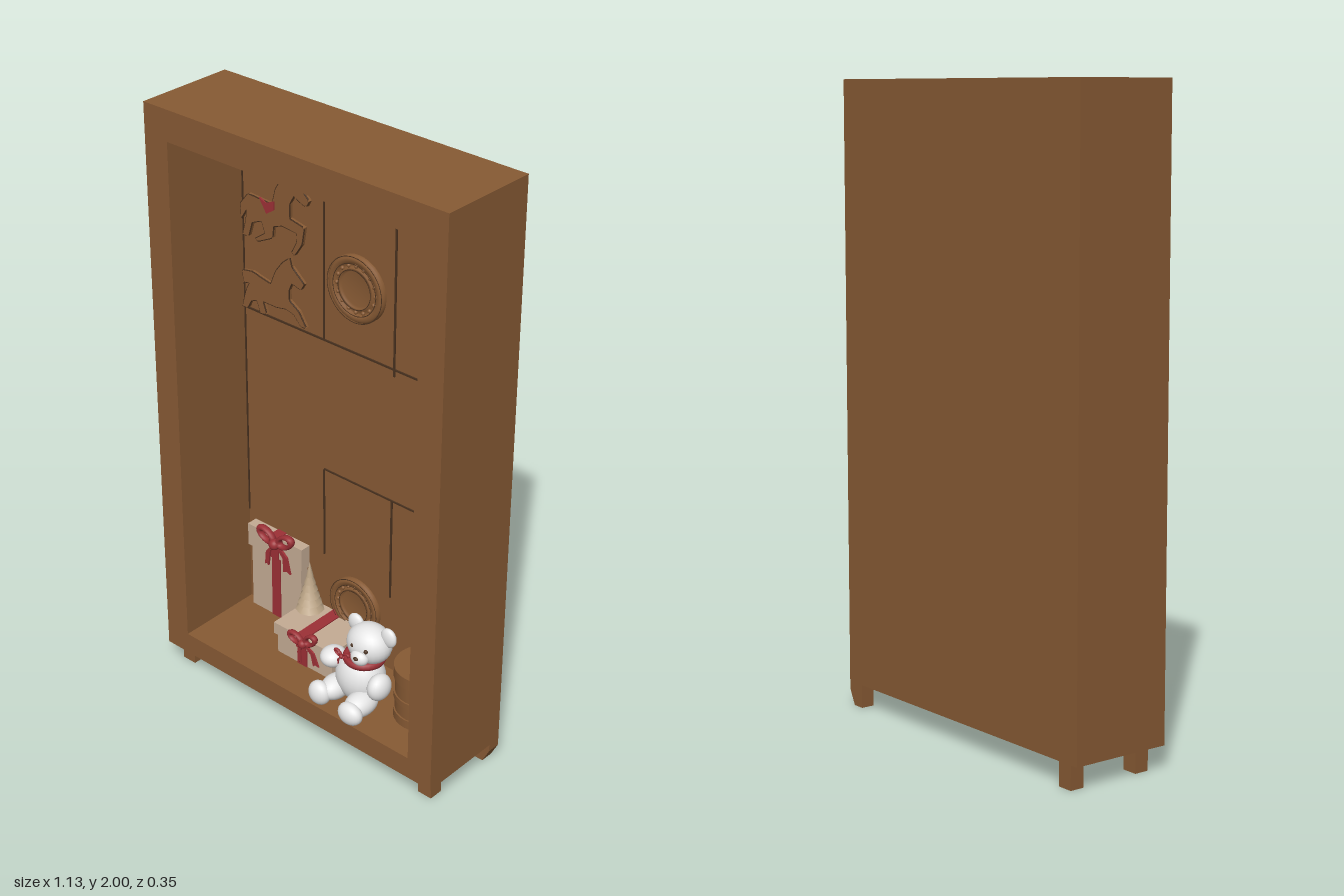
import * as THREE from 'three';

const mat = (name, color, side = THREE.FrontSide) => {
  const m = new THREE.MeshStandardMaterial({ color, side });
  m.name = name;
  return m;
};

export function createModel() {
  const wood = mat('wood', 0x875a34);
  const red = mat('red ribbon', 0x9c3036);
  const cream = mat('cream paper', 0xc4ab94);
  const white = mat('white plush', 0xe6e6e6);
  const straw = mat('straw foliage', 0xb9a284, THREE.DoubleSide);
  const dark = mat('dark seam', 0x4a3220);

  const model = new THREE.Group();
  model.name = 'displayCabinet';
  const WALL = -0.145; // front face of the back wall

  const group = (name, parent = model) => {
    const g = new THREE.Group();
    g.name = name;
    parent.add(g);
    return g;
  };
  const add = (parent, name, geo, material, x = 0, y = 0, z = 0) => {
    const m = new THREE.Mesh(geo, material);
    m.name = name;
    m.position.set(x, y, z);
    parent.add(m);
    return m;
  };
  // box given by its limits
  const box = (parent, name, m, x0, x1, y0, y1, z0, z1) =>
    add(parent, name, new THREE.BoxGeometry(x1 - x0, y1 - y0, z1 - z0), m,
      (x0 + x1) / 2, (y0 + y1) / 2, (z0 + z1) / 2);
  const ball = (parent, name, m, p, s) => {
    const b = add(parent, name, new THREE.SphereGeometry(1, 24, 16), m, ...p);
    b.scale.set(...s);
    return b;
  };
  const poly = pts => new THREE.Shape(pts.map(p => new THREE.Vector2(...p)));
  const plate = (shape, depth) =>
    new THREE.ExtrudeGeometry(shape, { depth, bevelEnabled: false, curveSegments: 8 });

  // Cabinet shell: hollow frame and back wall
  const rim = poly([[-0.567, 0.075], [0.567, 0.075], [0.567, 2], [-0.567, 2]]);
  rim.holes.push(new THREE.Path([[-0.475, 0.15], [-0.475, 1.9], [0.475, 1.9], [0.475, 0.15]]
    .map(p => new THREE.Vector2(...p))));
  add(model, 'cabinetFrame', plate(rim, 0.335), wood, 0, 0, -0.175);
  box(model, 'backWall', wood, -0.476, 0.476, 0.149, 1.901, -0.175, WALL);

  // Feet, the rear left one chamfered at the corner
  const feet = group('feet');
  for (const [x, z] of [[-0.515, 0.095], [0.512, 0.095], [-0.515, -0.151]])
    box(feet, 'foot', wood, x - 0.026, x + 0.026, 0, 0.08, z - 0.024, z + 0.024);
  add(feet, 'chamferedFoot',
    plate(poly([[0.5, 0], [0.542, 0], [0.567, 0.05], [0.567, 0.08], [0.5, 0.08]]), 0.045),
    wood, 0, 0, -0.175);

  // Panel seams on the back wall
  const seams = group('panelSeams');
  for (const [x0, x1, y0, y1] of [
    [-0.475, 0.475, 1.251, 1.257], [-0.143, -0.138, 1.255, 1.9], [0.136, 0.142, 1.23, 1.9],
    [-0.14, 0.475, 0.79, 0.795], [-0.143, -0.138, 0.47, 0.79], [0.136, 0.142, 0.43, 0.79],
    [-0.475, 0.475, 1.896, 1.9], [-0.475, -0.471, 0.5, 1.9], [0.471, 0.475, 0.35, 1.9]])
    box(seams, 'seam', dark, x0, x1, y0, y1, WALL - 0.002, WALL + 0.004);

  // Carved medallions
  const medallion = (x, y, r) => {
    const g = group('medallion');
    g.position.set(x, y, WALL);
    const pts = [[1, 0], [1, 0.012], [0.93, 0.02], [0.8, 0.02], [0.76, 0.01],
      [0.66, 0.01], [0.63, 0.016], [0.56, 0.016], [0.52, 0.008], [0.001, 0.008]];
    const disc = add(g, 'carvedDisc',
      new THREE.LatheGeometry(pts.map(p => new THREE.Vector2(p[0] * r, p[1])), 40), wood);
    disc.rotation.x = Math.PI / 2;
    for (const k of [1, 0.79, 0.6])
      add(g, 'groove', new THREE.RingGeometry(r * (k - 0.025), r * k, 40), dark, 0, 0, 0.0206);
    for (let i = 0; i < 16; i++) {
      const a = i * Math.PI / 8;
      const b = ball(g, 'bead', wood, [Math.cos(a) * r * 0.7, Math.sin(a) * r * 0.7, 0.012],
        [r * 0.06, r * 0.06, 0.006]);
      b.rotation.z = a;
    }
  };
  medallion(-0.005, 1.475, 0.108);
  medallion(0, 0.335, 0.1);

  // Carved horses, outlines drawn clockwise from the ear
  const trot = [[-0.262, 1.79], [-0.25, 1.755], [-0.19, 1.7], [-0.2, 1.68], [-0.222, 1.685],
    [-0.25, 1.7], [-0.268, 1.67], [-0.27, 1.62], [-0.21, 1.608], [-0.22, 1.55], [-0.25, 1.505],
    [-0.262, 1.51], [-0.24, 1.55], [-0.24, 1.582], [-0.3, 1.588], [-0.335, 1.575],
    [-0.34, 1.535], [-0.4, 1.505], [-0.415, 1.508], [-0.37, 1.54], [-0.385, 1.578],
    [-0.425, 1.56], [-0.44, 1.51], [-0.465, 1.508], [-0.45, 1.56], [-0.445, 1.6],
    [-0.47, 1.56], [-0.472, 1.61], [-0.44, 1.65], [-0.34, 1.645], [-0.325, 1.7], [-0.29, 1.755]];
  const canter = [[-0.27, 1.49], [-0.262, 1.462], [-0.212, 1.42], [-0.225, 1.398], [-0.262, 1.408],
    [-0.275, 1.38], [-0.275, 1.345], [-0.235, 1.32], [-0.205, 1.275], [-0.225, 1.272],
    [-0.255, 1.305], [-0.29, 1.312], [-0.325, 1.305], [-0.385, 1.305], [-0.37, 1.265],
    [-0.395, 1.26], [-0.41, 1.3], [-0.435, 1.29], [-0.45, 1.26], [-0.472, 1.26], [-0.455, 1.32],
    [-0.44, 1.35], [-0.465, 1.345], [-0.47, 1.385], [-0.43, 1.392], [-0.35, 1.375],
    [-0.33, 1.425], [-0.3, 1.465]];
  const outline = (pts, parent) => {
    const path = new THREE.CurvePath();
    pts.forEach((p, i) => {
      const q = pts[(i + 1) % pts.length];
      path.add(new THREE.LineCurve3(new THREE.Vector3(...p, 0), new THREE.Vector3(...q, 0)));
    });
    add(parent, 'carvedEdge', new THREE.TubeGeometry(path, 120, 0.0025, 5, true), dark, 0, 0, WALL + 0.012);
  };
  for (const pts of [trot, canter]) {
    const g = group('carvedHorse');
    add(g, 'horse', plate(poly(pts), 0.014), wood, 0, 0, WALL);
    outline(pts, g);
  }
  add(model, 'saddle',
    plate(poly([[-0.39, 1.655], [-0.36, 1.645], [-0.328, 1.66], [-0.33, 1.63], [-0.36, 1.61]]), 0.006),
    red, 0, 0, WALL + 0.012);

  // Ribbon bow: two loops, two tails and a knot
  const bow = (parent, x, y, z, s, tilt) => {
    const g = group('bow', parent);
    g.position.set(x, y, z);
    g.scale.setScalar(s);
    g.rotation.z = tilt;
    for (const k of [-1, 1]) {
      const loop = add(g, 'bowLoop', new THREE.TorusGeometry(0.55, 0.22, 8, 20), red, k * 0.55, 0.25, 0);
      loop.scale.set(0.75, 0.45, 0.8);
      loop.rotation.z = k * 0.5;
      add(g, 'bowTail', plate(poly([[-0.1, 0], [k * 0.5 - 0.1, -0.6], [k * 0.55 - 0.15, -1.3],
        [k * 0.6, -1.2], [k * 0.65 + 0.15, -1.3], [k * 0.5 + 0.15, -0.5], [0.1, 0]]), 0.1), red, 0, 0, -0.05);
    }
    ball(g, 'bowKnot', red, [0, 0, 0.1], [0.25, 0.25, 0.25]);
  };

  // Tall gift
  const tall = group('tallGift');
  box(tall, 'giftBox', cream, -0.437, -0.217, 0.15, 0.39, WALL, -0.115);
  box(tall, 'giftLid', cream, -0.447, -0.207, 0.388, 0.47, WALL, -0.107);
  box(tall, 'giftRibbon', red, -0.345, -0.308, 0.15, 0.39, WALL, -0.111);
  box(tall, 'lidRibbon', red, -0.345, -0.308, 0.386, 0.474, WALL, -0.103);
  bow(tall, -0.31, 0.457, -0.095, 0.075, 0.05);

  // Small gift
  const small = group('smallGift');
  box(small, 'giftBox', cream, -0.19, 0.045, 0.15, 0.225, WALL, 0.027);
  box(small, 'giftLid', cream, -0.2, 0.055, 0.222, 0.265, WALL, 0.035);
  box(small, 'giftRibbon', red, -0.1, -0.06, 0.15, 0.225, WALL, 0.031);
  box(small, 'lidRibbon', red, -0.1, -0.06, 0.22, 0.269, WALL, 0.039);
  bow(small, -0.06, 0.255, 0.045, 0.06, 0.25);

  // Little tree in layered cones
  const tree = group('littleTree');
  tree.position.set(-0.16, 0, -0.095);
  add(tree, 'trunk', new THREE.CylinderGeometry(0.008, 0.008, 0.05, 8), dark, 0, 0.275, 0);
  for (let i = 0; i < 6; i++) {
    const r = 0.048 - i * 0.007;
    add(tree, 'branches', new THREE.ConeGeometry(r, 0.055, 9, 1, true), straw, 0, 0.3 + i * 0.025, 0);
  }

  // Round wooden tub with hoops
  const tub = group('woodenTub');
  tub.position.set(0.372, 0, -0.045);
  add(tub, 'tubBody', new THREE.CylinderGeometry(0.095, 0.095, 0.19, 32), wood, 0, 0.245, 0);
  for (const [y, h] of [[0.32, 0.04], [0.235, 0.02], [0.165, 0.03]])
    add(tub, 'hoop', new THREE.CylinderGeometry(0.1, 0.1, h, 32), wood, 0, y, 0);

  // Seated plush bear
  const bear = group('plushBear');
  const parts = [
    ['body', [0.17, 0.24, 0.03], [0.085, 0.09, 0.075]],
    ['head', [0.197, 0.372, 0.02], [0.077, 0.066, 0.066]],
    ['muzzle', [0.207, 0.352, 0.078], [0.032, 0.026, 0.025]],
    ['ear', [0.132, 0.413, 0.01], [0.03, 0.032, 0.016]],
    ['ear', [0.265, 0.417, 0.01], [0.03, 0.034, 0.016]],
    ['arm', [0.082, 0.285, 0.06], [0.042, 0.033, 0.045]],
    ['arm', [0.268, 0.255, 0.055], [0.034, 0.045, 0.045]],
    ['leg', [0.11, 0.192, 0.08], [0.043, 0.04, 0.06]],
    ['leg', [0.225, 0.19, 0.09], [0.045, 0.04, 0.065]],
    ['foot', [0.088, 0.185, 0.132], [0.04, 0.042, 0.03]],
    ['foot', [0.228, 0.182, 0.145], [0.045, 0.038, 0.03]]];
  for (const [name, p, s] of parts) ball(bear, name, white, p, s);
  ball(bear, 'nose', dark, [0.21, 0.36, 0.101], [0.009, 0.006, 0.006]);
  for (const x of [0.178, 0.232]) ball(bear, 'eye', dark, [x, 0.385, 0.079], [0.007, 0.007, 0.006]);
  const scarf = add(bear, 'scarf', new THREE.TorusGeometry(0.056, 0.014, 8, 28), red, 0.183, 0.317, 0.027);
  scarf.rotation.x = Math.PI / 2;
  bow(bear, 0.135, 0.322, 0.08, 0.03, 0);

  return model;
}
